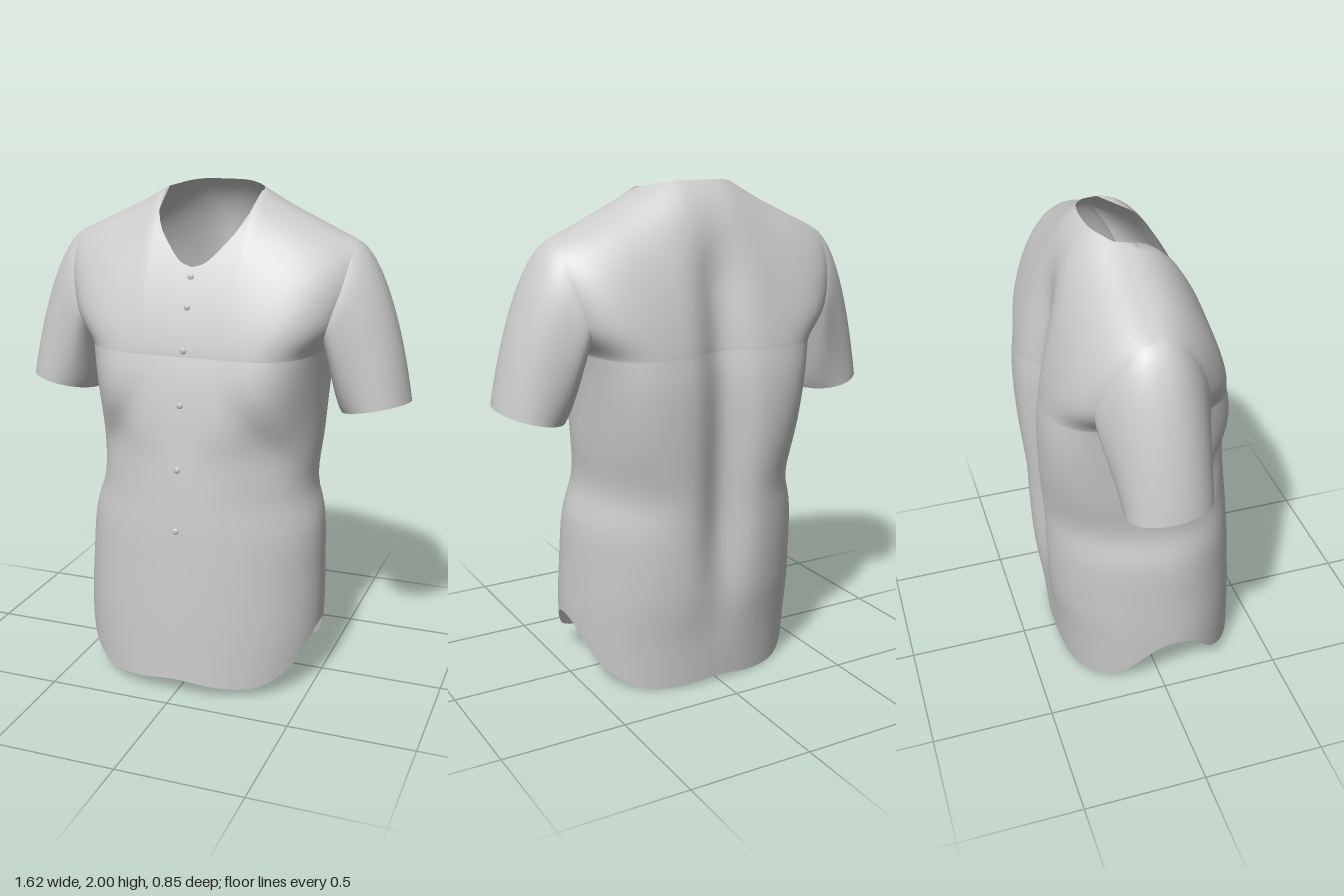
import * as THREE from 'three';
import { mergeGeometries, mergeVertices } from 'three/addons/utils/BufferGeometryUtils.js';

// Smooth curve through [position, value] pairs, held constant past its ends
function curve(pairs) {
  const c = new THREE.CubicInterpolant(
    new Float32Array(pairs.map(p => p[0])), new Float32Array(pairs.map(p => p[1])), 1);
  return t => c.evaluate(t)[0];
}

const { smoothstep, clamp, lerp } = THREE.MathUtils;
const ARMPIT = 1.37, NECK = 0.345;
const LOWER_ROWS = 30, UPPER_ROWS = 28;

// Half width and side seam depth by height
const halfWidth = curve([[0, 0.485], [0.25, 0.5], [0.45, 0.495], [0.68, 0.48], [0.8, 0.447],
  [1, 0.455], [1.2, 0.463], [1.37, 0.48], [1.5, 0.52], [1.65, 0.56], [1.8, 0.58]]);
const sideZ = curve([[0, 0.05], [0.25, 0.05], [0.8, 0], [1.2, -0.06], [1.37, -0.07]]);
const shoulderY = curve([[0.345, 1.975], [0.5, 1.925], [0.69, 1.872], [1, 1.79]]);

// The two body panels; s runs from 0 at the centre to 1 at the side seam
const front = {
  dir: 1, round: 2, squareFrom: 0.95, fall: 0.5, armhole: 0.42,
  depth: curve([[0, 0.425], [0.4, 0.41], [0.8, 0.385], [1, 0.364], [1.2, 0.338], [1.3, 0.32], [1.37, 0.302]]),
  hem: curve([[-0.4, 0.047], [0, 0.07], [0.4, 0.047], [0.67, 0.047], [0.8, 0.08], [0.9, 0.13], [1, 0.25]]),
  neck: curve([[0, 1.7], [0.09, 1.718], [0.2, 1.785], [0.29, 1.86], [0.33, 1.925], [0.345, 1.975]]),
  peak: () => 1.975,
  // Slanting fold below the chest
  fold: (x, y) => 0.038 * Math.exp(-(((x - 0.2 - (1.25 - y) * 0.5) / 0.07) ** 2) - ((y - 1) / 0.18) ** 2),
};
const back = {
  dir: -1, round: 2.6, squareFrom: 0.75, fall: 0.4, armhole: 0.55,
  depth: curve([[0, -0.355], [0.2, -0.375], [0.4, -0.405], [0.8, -0.425], [1.2, -0.432], [1.3, -0.426], [1.37, -0.415]]),
  hem: curve([[-0.4, 0.003], [0, 0.02], [0.4, 0.003], [0.7, 0.015], [0.8, 0.045], [0.92, 0.12], [1, 0.25]]),
  neck: curve([[0, 2], [0.17, 1.998], [0.26, 1.99], [0.345, 1.975]]),
  peak: curve([[0, 2.037], [0.09, 2.035], [0.17, 2.027], [0.26, 2.003], [0.345, 1.975]]),
  // Hollow along the spine
  fold: (x, y) => 0.065 * Math.exp(-((x / 0.1) ** 2)) *
    smoothstep(y, 0.1, 0.75) * (1 - smoothstep(y, 1.6, 1.95)),
};

function panelPoint(panel, s, y) {
  const a = Math.abs(s);
  const x = s * halfWidth(y);
  const peak = a < NECK ? panel.peak(a) : shoulderY(a);
  const v = clamp((y - ARMPIT) / (peak - ARMPIT), 0, 1);
  // Section squares off towards the armpit and opens into the armhole above it
  const power = panel.round + 3.5 * smoothstep(y, panel.squareFrom, ARMPIT);
  const open = 1 - panel.armhole * (1 - Math.exp(-((v / 0.15) ** 1.5)));
  const g = Math.sqrt(Math.max(0, 1 - open * a ** power));
  const reach = Math.abs(panel.depth(y) - sideZ(y)) - panel.fold(Math.abs(x), y);
  const fall = 1 - v < 1e-5 ? 0 : (1 - v ** 1.25) ** panel.fall;
  return new THREE.Vector3(x, y, sideZ(y) + panel.dir * reach * g * fall);
}

// Points of one column from the hem to the neckline or shoulder
function panelColumn(panel, s) {
  const a = Math.abs(s), pts = [];
  const hem = panel.hem(a), top = a < NECK ? panel.neck(a) : shoulderY(a);
  for (let j = 0; j < LOWER_ROWS; j++) {
    pts.push(panelPoint(panel, s, hem + (ARMPIT - hem) * j / LOWER_ROWS));
  }
  for (let j = 0; j <= UPPER_ROWS; j++) {
    const t = (1 - Math.cos(Math.PI * j / UPPER_ROWS)) / 2;
    pts.push(panelPoint(panel, s, ARMPIT + (top - ARMPIT) * t));
  }
  return pts;
}

// Surface from a list of equally long point rows
function surface(rows, flip) {
  const n = rows[0].length, index = [];
  for (let i = 0; i < rows.length - 1; i++) {
    for (let j = 0; j < n - 1; j++) {
      const a = i * n + j, b = a + n, c = b + 1, d = a + 1;
      index.push(...(flip ? [a, c, b, a, d, c] : [a, b, c, a, c, d]));
    }
  }
  const geo = new THREE.BufferGeometry().setFromPoints(rows.flat());
  geo.setIndex(index);
  return geo;
}

function weld(geo) {
  const g = mergeVertices(geo, 1e-4);
  g.computeVertexNormals();
  return g;
}

// Sleeve swept from the armhole to the cuff; side is +1 or -1
function sleeveGeometry(side) {
  const f = panelColumn(front, 1).slice(LOWER_ROWS);
  const b = panelColumn(back, 1).slice(LOWER_ROWS);
  const armhole = [...f, ...b.reverse().slice(1)];
  const rows = armhole.map((A, i) => {
    const phi = Math.PI * i / UPPER_ROWS, k = -Math.cos(phi), w = Math.sin(phi);
    const C = new THREE.Vector3(0.675 + 0.135 * k, 1.15 + 0.03 * k + 0.015 * w, -0.065 + 0.165 * w);
    const h = (A.y - ARMPIT) / (1.79 - ARMPIT);
    const path = new THREE.CubicBezierCurve3(A,
      new THREE.Vector3(A.x + 0.01 + 0.08 * h, A.y - 0.05, A.z),
      new THREE.Vector3(C.x - 0.035 - 0.015 * h, C.y + 0.05 + 0.25 * h, lerp(C.z, A.z, 0.4)), C);
    return path.getPoints(18).map(p => p.setX(p.x * side));
  });
  return weld(surface(rows, side > 0));
}

export function createModel() {
  const model = new THREE.Group();
  model.name = 'shirt';
  const cloth = new THREE.MeshStandardMaterial({ color: 0xcccccc, side: THREE.DoubleSide });
  const add = (name, geo, mat = cloth) => {
    const mesh = new THREE.Mesh(geo, mat);
    mesh.name = name;
    model.add(mesh);
    return mesh;
  };

  // Column positions, with one exactly at each neck corner
  const half = [];
  for (let i = 1; i <= 12; i++) half.push(NECK * i / 12);
  const start = Math.asin(NECK);
  for (let i = 1; i <= 24; i++) half.push(i === 24 ? 1 : Math.sin(start + (Math.PI / 2 - start) * i / 24));
  const columns = [...half.map(s => -s).reverse(), 0, ...half];

  // Body: front and back panels joined at sides and shoulders
  add('body', weld(mergeGeometries([front, back].map(p =>
    surface(columns.map(s => panelColumn(p, s)), p === back)))));

  // Sleeves
  add('leftSleeve', sleeveGeometry(1));
  add('rightSleeve', sleeveGeometry(-1));

  // Buttons down the front
  const buttonGeo = new THREE.SphereGeometry(0.013, 14, 10);
  const buttonMat = new THREE.MeshStandardMaterial({ color: 0xcccccc });
  for (const y of [1.665, 1.555, 1.395, 1.19, 0.94, 0.695]) {
    const button = add('button', buttonGeo, buttonMat);
    button.position.copy(panelPoint(front, 0, y));
    button.scale.z = 0.5;
  }
  return model;
}
